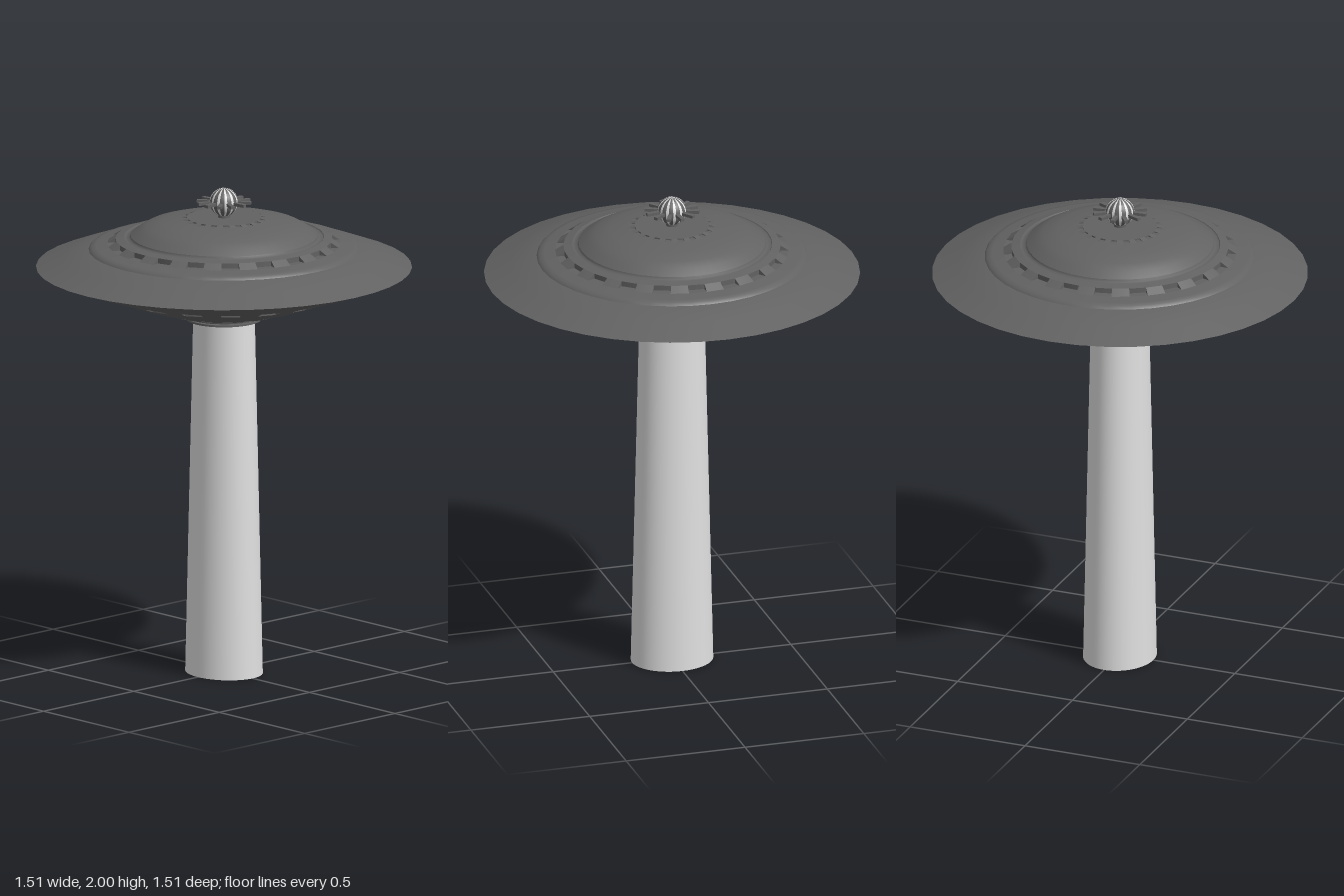
import * as THREE from 'three';
import { mergeGeometries } from 'three/addons/utils/BufferGeometryUtils.js';

const SEGMENTS = 40, WINDOWS = 20;
const STEP = (Math.PI * 2) / SEGMENTS;
const START = THREE.MathUtils.degToRad(-8.7);

export function createModel() {
  const hullGrey = new THREE.MeshStandardMaterial({ color: 0x626262, side: THREE.DoubleSide });
  hullGrey.name = 'hullGrey';
  const paleGrey = new THREE.MeshStandardMaterial({ color: 0xe0e0e0 });
  paleGrey.name = 'paleGrey';

  const model = new THREE.Group();
  model.name = 'saucerTower';

  const add = (parent, name, geometry, material) => {
    const mesh = new THREE.Mesh(geometry, material);
    mesh.name = name;
    parent.add(mesh);
    return mesh;
  };

  // Profiles run from the underside, around the rim, to the crown
  const lathe = (points, start = START, segments = SEGMENTS) => new THREE.LatheGeometry(
    points.map(([r, y]) => new THREE.Vector2(r, y)), segments, start, segments * STEP);

  // Triangular side wall of a window recess
  const cheek = (points, phi) => {
    const geometry = new THREE.BufferGeometry();
    const position = points.flatMap(([r, y]) => [r * Math.sin(phi), y, r * Math.cos(phi)]);
    geometry.setAttribute('position', new THREE.Float32BufferAttribute(position, 3));
    geometry.setAttribute('uv', new THREE.Float32BufferAttribute([0, 0, 1, 0, 0, 1], 2));
    geometry.setIndex([0, 1, 2]);
    geometry.computeVertexNormals();
    return geometry;
  };

  // Sloping band with evenly spaced recessed windows
  const windowBand = (a, b) => {
    const corner = b[0] > a[0] ? [a[0], b[1]] : [b[0], a[1]];
    const pieces = [];
    for (let i = 0; i < WINDOWS; i++) {
      const phi = START + i * 2 * STEP;
      pieces.push(
        lathe([a, corner], phi, 1), lathe([corner, b], phi, 1),
        lathe([a, b], phi + STEP, 1),
        cheek([a, corner, b], phi), cheek([a, b, corner], phi + STEP));
    }
    return mergeGeometries(pieces);
  };

  // Tapered oval column
  const column = add(model, 'column', new THREE.CylinderGeometry(0.115, 0.145, 1.475, 48), paleGrey);
  column.position.y = 1.475 / 2;
  column.scale.z = 1.16;

  // Collar under the saucer
  const collar = add(model, 'collar', new THREE.CylinderGeometry(0.152, 0.152, 0.008, SEGMENTS), hullGrey);
  collar.position.y = 1.463;

  // Saucer shells and window bands
  const saucer = new THREE.Group();
  saucer.name = 'saucer';
  model.add(saucer);
  const shells = {
    bottomPlate: [[0, 1.474], [0.16, 1.474]],
    bottomLip: [[0.16, 1.474], [0.163, 1.486]],
    lowerCone: [[0.163, 1.486], [0.21, 1.492], [0.255, 1.502]],
    lowerHull: [[0.285, 1.512], [0.35, 1.532], [0.42, 1.557], [0.475, 1.577]],
    lowerRim: [[0.525, 1.596], [0.64, 1.635], [0.757, 1.675]],
    upperRim: [[0.757, 1.675], [0.65, 1.716], [0.59, 1.737], [0.545, 1.747]],
    upperStep: [[0.545, 1.747], [0.535, 1.759], [0.515, 1.763], [0.47, 1.771]],
    upperLedge: [[0.437, 1.792], [0.403, 1.799]],
    groove: [[0.403, 1.799], [0.4, 1.794], [0.381, 1.795], [0.377, 1.806]],
    dome: [[0.377, 1.806], [0.345, 1.828], [0.31, 1.847], [0.25, 1.864], [0.172, 1.874]],
    crown: [[0.15, 1.88], [0, 1.88]],
  };
  for (const [name, profile] of Object.entries(shells)) add(saucer, name, lathe(profile), hullGrey);
  const bands = {
    lowerInnerWindows: [[0.255, 1.502], [0.285, 1.512]],
    lowerOuterWindows: [[0.475, 1.577], [0.525, 1.596]],
    upperWindows: [[0.47, 1.771], [0.437, 1.792]],
    crownNotches: [[0.172, 1.874], [0.15, 1.88]],
  };
  for (const [name, [a, b]] of Object.entries(bands)) add(saucer, name, windowBand(a, b), hullGrey);

  // Mast with a striped ball and radial spokes
  const beacon = new THREE.Group();
  beacon.name = 'beacon';
  model.add(beacon);
  const mast = add(beacon, 'mast', new THREE.CylinderGeometry(0.025, 0.025, 0.04, 16), hullGrey);
  mast.position.y = 1.895;
  const dark = [], pale = [], spokes = [];
  const radius = 0.058, pitch = Math.PI / 6;
  for (let i = 0; i < 12; i++) {
    dark.push(new THREE.SphereGeometry(radius, 2, 16, i * pitch, pitch * 0.6));
    pale.push(new THREE.SphereGeometry(radius, 2, 16, (i + 0.6) * pitch, pitch * 0.4));
    spokes.push(new THREE.BoxGeometry(0.065, 0.012, 0.017)
      .translate(0.0775, 0, 0).rotateY((i + 0.2) * pitch));
  }
  const parts = [['ballDarkGores', dark, hullGrey], ['ballPaleGores', pale, paleGrey], ['spokes', spokes, hullGrey]];
  for (const [name, pieces, material] of parts) {
    add(beacon, name, mergeGeometries(pieces), material).position.y = 1.942;
  }
  return model;
}
